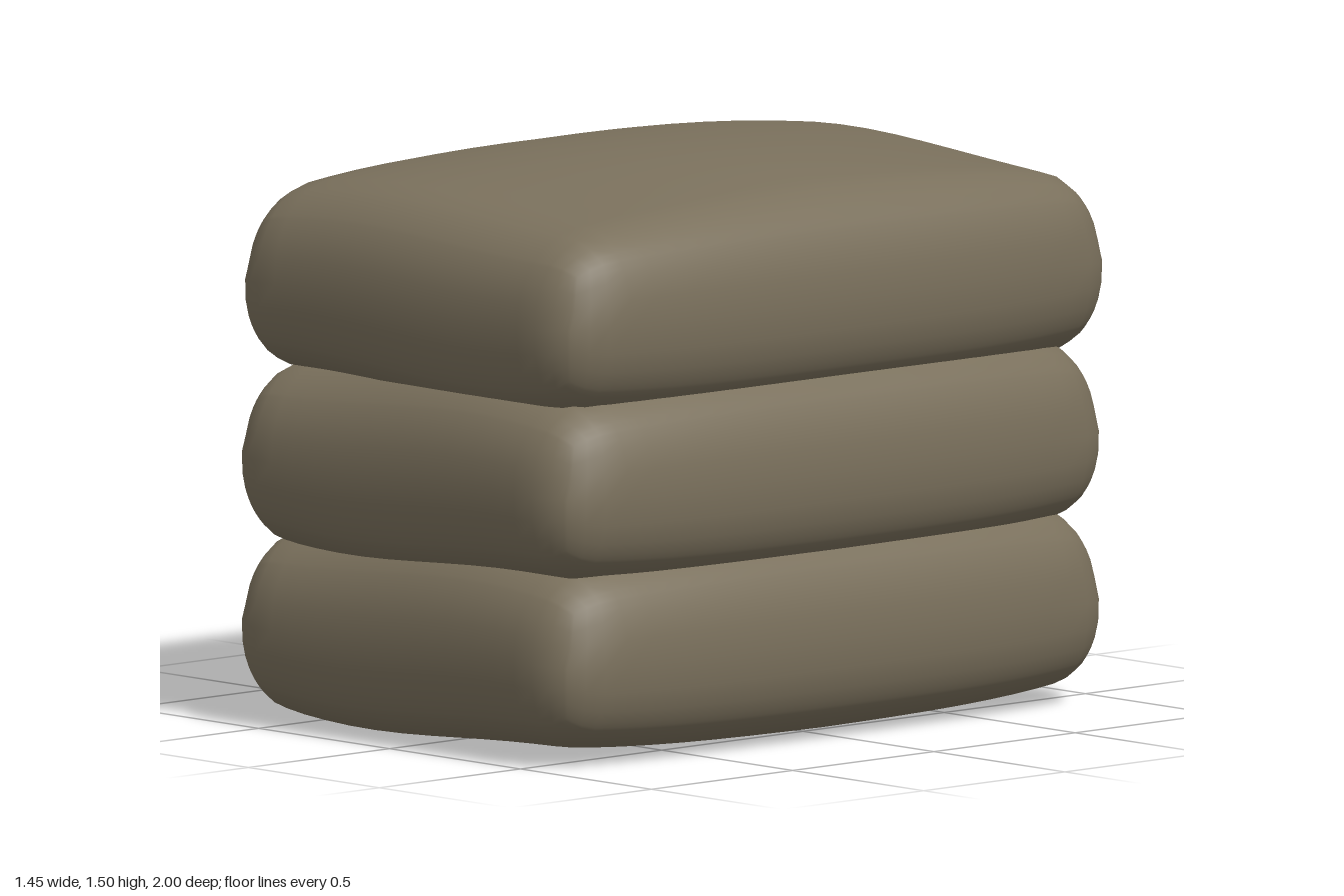
import * as THREE from 'three';
import { mergeVertices } from 'three/addons/utils/BufferGeometryUtils.js';

// One filled sack: a box with soft elliptical corners, tapered ends and a domed top
function sackGeometry() {
  const half = new THREE.Vector3(0.715, 0.24, 0.985);
  const topRadius = new THREE.Vector3(0.16, 0.22, 0.19);
  const bottomRadius = new THREE.Vector3(0.16, 0.21, 0.14);
  const geo = new THREE.BoxGeometry(2, 2, 2, 20, 10, 24);
  geo.deleteAttribute('uv');
  geo.deleteAttribute('normal');
  const pos = geo.attributes.position;
  const core = new THREE.Vector3();
  const dir = new THREE.Vector3();
  for (let i = 0; i < pos.count; i++) {
    // crowd the grid lines toward the edges, where the curvature is
    const p = new THREE.Vector3().fromBufferAttribute(pos, i);
    const radius = p.y > 0 ? topRadius : bottomRadius;
    for (const k of ['x', 'y', 'z']) {
      p[k] = Math.sin(p[k] * Math.PI / 2) * half[k];
      const inner = half[k] - radius[k];
      core[k] = THREE.MathUtils.clamp(p[k], -inner, inner);
      dir[k] = (p[k] - core[k]) / radius[k];
    }
    p.copy(dir.normalize().multiply(radius).add(core));

    // bulge of the filling, stronger above than below
    const dome = Math.max(0, 1 - (p.x / 0.72) ** 2) * Math.max(0, 1 - p.z ** 2);
    const side = THREE.MathUtils.clamp(p.y / half.y, -1, 1);
    p.y += dome * (side > 0 ? 0.1 : 0.03) * side;

    // thinner corners, and a gentle sag along the ends
    p.y *= 1 - 0.16 * (p.x / 0.72) ** 2 * p.z ** 4;
    p.y += 0.014 * Math.sin(p.x * 4.5) * Math.abs(p.z);

    // narrower toward both ends
    p.x *= 1 - 0.09 * Math.abs(p.z) ** 3;
    pos.setXYZ(i, p.x, p.y, p.z);
  }
  const merged = mergeVertices(geo, 1e-4);
  merged.computeVertexNormals();
  return merged;
}

export function createModel() {
  const model = new THREE.Group();
  model.name = 'sackStack';
  const cloth = new THREE.MeshStandardMaterial({ color: 0x7a705c });
  cloth.name = 'drabCloth';
  const geo = sackGeometry();

  // three sacks, the top one turned end for end
  const sacks = [
    ['bottomSack', 0.27, 1],
    ['middleSack', 0.71, 1],
    ['topSack', 1.155, -1],
  ];
  for (const [name, y, facing] of sacks) {
    const sack = new THREE.Mesh(geo, cloth);
    sack.name = name;
    sack.position.set(0.01 * facing, y, 0.015 * facing);
    sack.rotation.y = facing > 0 ? 0 : Math.PI;
    model.add(sack);
  }
  return model;
}
